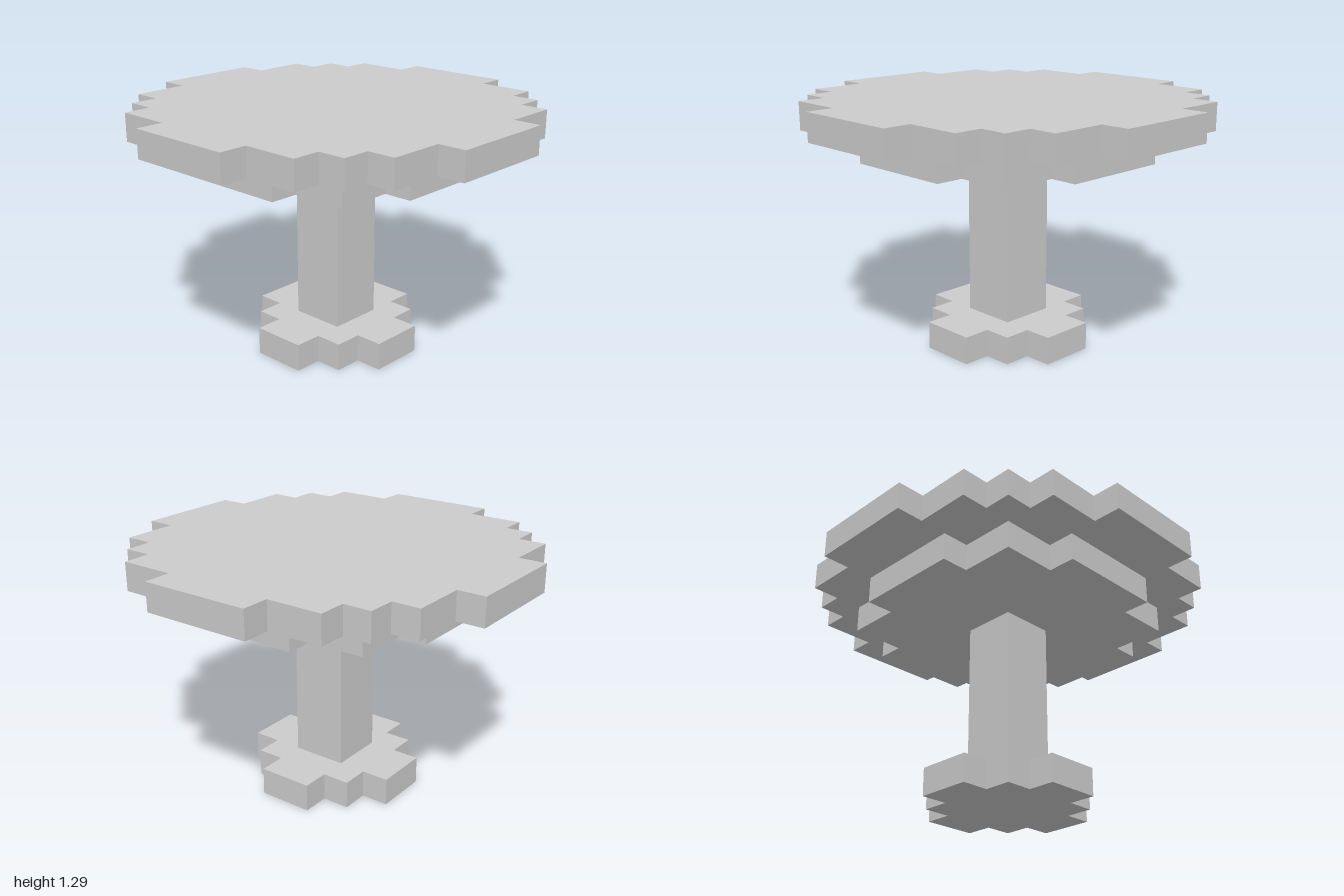
import * as THREE from 'three';

const U = 1 / 7; // one block of the stepped grid

const material = new THREE.MeshStandardMaterial({ color: 0xcccccc, flatShading: true });

// Stepped disc: outer corners of one quadrant, repeated by quarter turns
function steppedDisc(name, corners, bottom, height) {
  const quadrant = [];
  corners.forEach(([x, z], i) => {
    quadrant.push([x, z]);
    if (i < corners.length - 1) quadrant.push([corners[i + 1][0], z]); // inner corner
  });
  const points = [];
  for (let turn = 0; turn < 4; turn++) {
    for (const [x, z] of quadrant) {
      const [px, pz] = [[x, z], [-z, x], [-x, -z], [z, -x]][turn];
      points.push(new THREE.Vector2(px * U, pz * U));
    }
  }
  const geometry = new THREE.ExtrudeGeometry(new THREE.Shape(points), {
    depth: height * U, bevelEnabled: false,
  });
  geometry.rotateX(-Math.PI / 2);
  const mesh = new THREE.Mesh(geometry, material);
  mesh.name = name;
  mesh.position.y = bottom * U;
  return mesh;
}

export function createModel() {
  const table = new THREE.Group();
  table.name = 'pedestalTable';

  // Foot
  table.add(steppedDisc('base', [[3, 1], [2, 2], [1, 3]], 0, 1));

  // Square column
  const column = new THREE.Mesh(new THREE.BoxGeometry(2 * U, 6 * U, 2 * U), material);
  column.name = 'column';
  column.position.y = 4 * U;
  table.add(column);

  // Support under the top, then the top itself
  table.add(steppedDisc('topSupport', [[5, 2], [4, 4], [2, 5]], 7, 1));
  table.add(steppedDisc('tableTop', [[7, 2], [6, 4], [5, 5], [4, 6], [2, 7]], 8, 1));

  return table;
}
